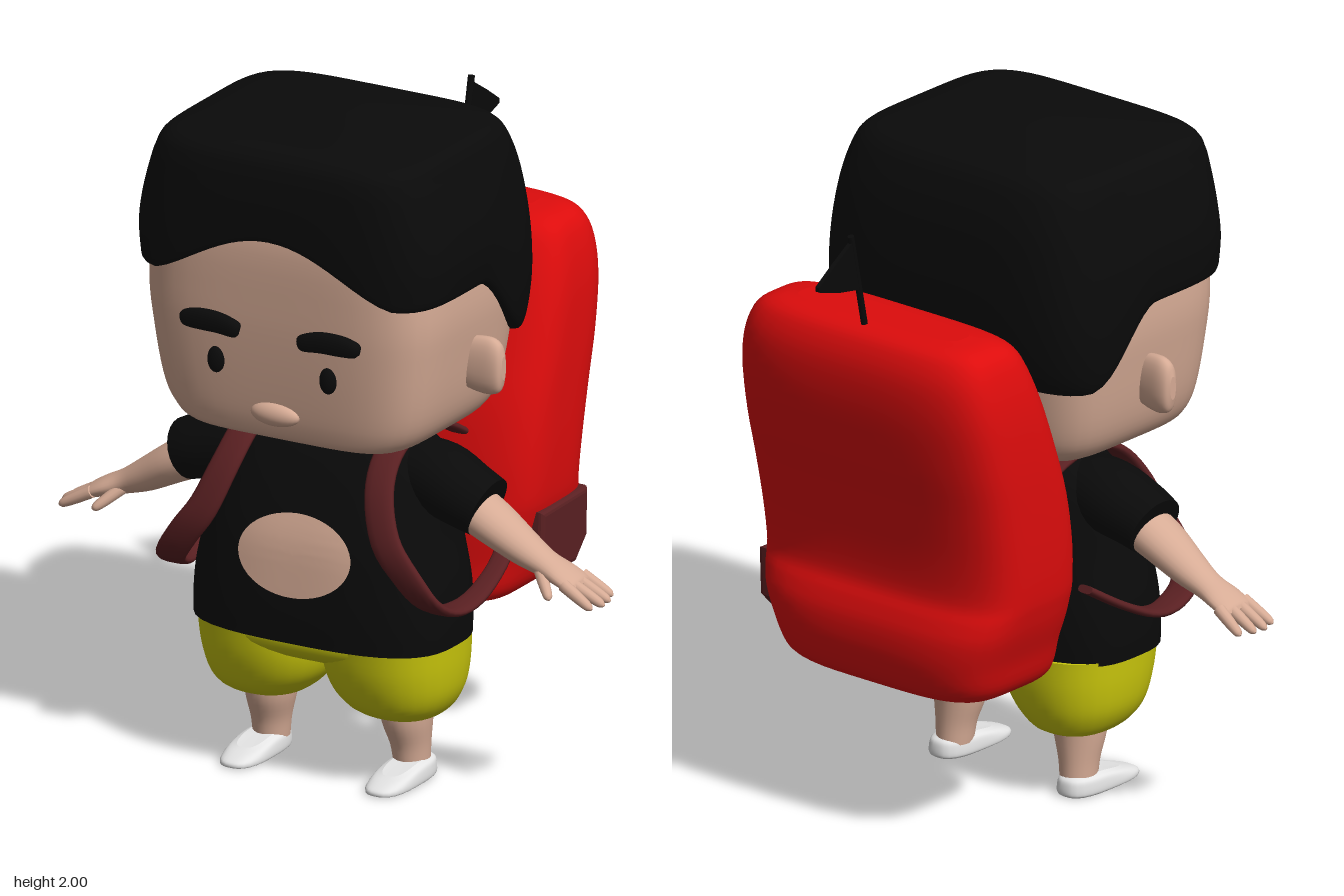
import * as THREE from 'three';

const mat = (name, color) => Object.assign(new THREE.MeshStandardMaterial({ color }), { name });
const V = (x, y, z) => new THREE.Vector3(x, y, z);
const X = V(1, 0, 0), Y = V(0, 1, 0), Z = V(0, 0, 1);

// Smoothly resample sections [x, y, z, ru, rv]
function resample(list, k = 4) {
  const pos = new THREE.CatmullRomCurve3(list.map(s => V(s[0], s[1], s[2])), false, 'catmullrom', 0.5);
  const rad = new THREE.CatmullRomCurve3(list.map(s => V(s[3], s[4], 0)), false, 'catmullrom', 0.5);
  const count = (list.length - 1) * k, out = [];
  for (let i = 0; i <= count; i++) {
    const r = rad.getPoint(i / count);
    out.push({ c: pos.getPoint(i / count), ru: r.x, rv: r.y });
  }
  return out;
}

// Loft of superellipse rings; a fixed axis keeps all rings parallel
function loft(list, { hint = X, axis = null, n = 2, seg = 24, k = 4, warp = null } = {}) {
  const rings = resample(list, k), pos = [], idx = [], last = rings.length - 1;
  const ringPoints = rings.map((r, i) => {
    const a = axis ? axis.clone()
      : rings[Math.min(i + 1, last)].c.clone().sub(rings[Math.max(i - 1, 0)].c).normalize();
    const u = hint.clone().addScaledVector(a, -hint.dot(a)).normalize();
    const v = a.clone().cross(u);
    return Array.from({ length: seg }, (_, j) => {
      const t = j / seg * Math.PI * 2, c = Math.cos(t), s = Math.sin(t);
      const q = 1 / Math.pow(Math.abs(c) ** n + Math.abs(s) ** n, 1 / n);
      return r.c.clone().addScaledVector(u, c * q * r.ru).addScaledVector(v, s * q * r.rv);
    });
  });
  const add = p => pos.push(p.x, p.y, p.z);
  ringPoints.forEach(ring => ring.forEach(add));
  for (let i = 0; i < last; i++) for (let j = 0; j < seg; j++) {
    const a = i * seg + j, b = i * seg + (j + 1) % seg;
    idx.push(a, b, b + seg, a, b + seg, a + seg);
  }
  // separate end caps keep their edges crisp
  for (const e of [0, last]) {
    const base = pos.length / 3;
    add(rings[e].c);
    ringPoints[e].forEach(add);
    for (let j = 0; j < seg; j++) {
      const p = base + 1 + j, q = base + 1 + (j + 1) % seg;
      if (e) idx.push(base, p, q); else idx.push(base, q, p);
    }
  }
  if (warp) for (let i = 0; i < pos.length; i += 3) pos[i + 1] = warp(pos[i], pos[i + 1], pos[i + 2]);
  const g = new THREE.BufferGeometry();
  g.setAttribute('position', new THREE.Float32BufferAttribute(pos, 3));
  g.setIndex(idx);
  g.computeVertexNormals();
  return g;
}

// Rows [y, half width, front z, back z] into sections
const body = rows => rows.map(([y, rx, f, b]) => [0, y, (f + b) / 2, rx, (f - b) / 2]);

export function createModel() {
  const root = new THREE.Group();
  root.name = 'backpacker';
  const black = mat('black', 0x0a0a0a), skin = mat('skin', 0xd6ab95), red = mat('red', 0xdd0c0c);
  const maroon = mat('maroon', 0x5a2022), yellow = mat('yellow', 0xc9c60c), white = mat('white', 0xe4e4e4);
  const add = (name, g, m, x = 0, y = 0, z = 0) => {
    const mesh = new THREE.Mesh(g, m);
    mesh.name = name;
    mesh.position.set(x, y, z);
    root.add(mesh);
    return mesh;
  };
  const ball = (name, m, x, y, z, a, b, c) =>
    add(name, new THREE.SphereGeometry(1, 24, 16), m, x, y, z).scale.set(a, b, c);

  // Head
  add('head', loft(body([[1.07, 0.29, 0.51, 0.03], [1.08, 0.355, 0.57, 0], [1.12, 0.405, 0.59, -0.03],
    [1.2, 0.438, 0.605, -0.05], [1.35, 0.462, 0.622, -0.07], [1.5, 0.475, 0.632, -0.08],
    [1.7, 0.455, 0.632, -0.08], [1.85, 0.4, 0.58, -0.04]]), { axis: Y, n: 5, seg: 72 }), skin);
  ball('nose', skin, 0, 1.165, 0.6, 0.08, 0.035, 0.03);
  add('neck', new THREE.CylinderGeometry(0.13, 0.15, 0.1, 24), skin, 0, 1.06, 0.23);

  // Hair: its lower edge arches over the face and drops behind the ears
  const hem = (x, z) => 1.32 + 0.22 * THREE.MathUtils.smoothstep(z, 0, 0.27)
    + (z > 0.3 ? 0.155 * Math.cos(Math.PI / 2 * Math.min(1, Math.abs(x) / 0.4)) ** 1.3 : 0);
  add('hair', loft(body([[1.32, 0.46, 0.625, -0.06], [1.335, 0.49, 0.645, -0.085], [1.4, 0.5, 0.65, -0.115],
    [1.52, 0.505, 0.652, -0.132], [1.66, 0.492, 0.652, -0.135], [1.8, 0.468, 0.65, -0.122],
    [1.9, 0.445, 0.645, -0.09], [1.945, 0.42, 0.625, -0.06], [1.965, 0.37, 0.58, -0.02],
    [1.985, 0.22, 0.45, 0.08], [1.998, 0.08, 0.32, 0.18], [2.0, 0.01, 0.26, 0.24]]),
  { axis: Y, n: 5, seg: 96, warp: (x, y, z) => {
    if (y > 1.9) return y;
    const h = hem(x, z);
    return h + (y - 1.32) / 0.58 * (1.9 - h);
  } }), black);

  // Shirt
  const shirt = body([[0.44, 0.41, 0.508, 0.04], [0.52, 0.41, 0.51, 0.033], [0.62, 0.4, 0.505, 0.03],
    [0.75, 0.37, 0.49, 0.03], [0.88, 0.345, 0.445, 0.035], [0.97, 0.32, 0.4, 0.06],
    [1.03, 0.26, 0.36, 0.1], [1.06, 0.18, 0.32, 0.13]]);
  add('shirt', loft(shirt, { axis: Y, n: 3, seg: 48 }), black);

  // Bare belly patch, following the shirt front
  const rings = resample(shirt);
  const frontZ = (x, y) => {
    const i = rings.findIndex(r => r.c.y >= y), a = rings[i - 1], b = rings[i];
    const t = (y - a.c.y) / (b.c.y - a.c.y), mix = THREE.MathUtils.lerp;
    const rx = mix(a.ru, b.ru, t), rz = mix(a.rv, b.rv, t);
    return mix(a.c.z, b.c.z, t) + rz * Math.cbrt(1 - Math.abs(x / rx) ** 3);
  };
  const patch = new THREE.RingGeometry(0.001, 1, 48, 8), p = patch.attributes.position;
  for (let i = 0; i < p.count; i++) {
    const x = p.getX(i) * 0.185, y = 0.703 + p.getY(i) * 0.122 + 0.03 * x;
    p.setXYZ(i, x, y, frontZ(x, y) + 0.005);
  }
  patch.computeVertexNormals();
  add('belly', patch, skin);

  // Hips between the trouser legs
  add('hips', loft(body([[0.345, 0.16, 0.36, 0.14], [0.37, 0.27, 0.43, 0.08], [0.41, 0.37, 0.48, 0.05],
    [0.46, 0.39, 0.485, 0.05]]), { axis: Y, n: 3, seg: 40 }), yellow);

  for (const s of [1, -1]) {
    const side = s > 0 ? 'left' : 'right';
    const mirror = list => list.map(([x, ...r]) => [s * x, ...r]);

    // Face details and ears
    ball(side + 'Eye', black, s * 0.185, 1.305, 0.618, 0.027, 0.04, 0.02);
    add(side + 'Eyebrow', loft(mirror([[0.1, 1.41, 0.633, 0.015, 0.01], [0.112, 1.413, 0.635, 0.025, 0.02],
      [0.17, 1.424, 0.635, 0.031, 0.022], [0.235, 1.424, 0.633, 0.031, 0.022],
      [0.28, 1.418, 0.628, 0.024, 0.02], [0.294, 1.415, 0.626, 0.012, 0.01]]), { hint: Y, n: 2.5, seg: 16 }), black);
    add(side + 'Ear', loft(mirror([[0.43, 1.305, 0.265, 0.075, 0.03], [0.48, 1.302, 0.262, 0.085, 0.032],
      [0.52, 1.3, 0.26, 0.085, 0.032], [0.545, 1.3, 0.26, 0.07, 0.026],
      [0.556, 1.3, 0.26, 0.035, 0.012]]), { hint: Y, n: 2.3 }), skin);

    // Sleeve, arm and hand
    add(side + 'Sleeve', loft(mirror([[0.2, 0.955, 0.235, 0.1, 0.08], [0.33, 0.925, 0.24, 0.115, 0.105],
      [0.43, 0.89, 0.25, 0.11, 0.097], [0.495, 0.865, 0.25, 0.1, 0.09]]), { hint: Z }), black);
    add(side + 'Arm', loft(mirror([[0.42, 0.875, 0.25, 0.08, 0.07], [0.52, 0.825, 0.255, 0.078, 0.062],
      [0.62, 0.767, 0.255, 0.062, 0.05], [0.69, 0.733, 0.255, 0.052, 0.037], [0.75, 0.71, 0.255, 0.062, 0.029],
      [0.795, 0.69, 0.255, 0.062, 0.022], [0.81, 0.684, 0.255, 0.05, 0.01]]), { hint: Z }), skin);
    const finger = (name, a, b) => add(name, loft(mirror([0, 0.5, 0.88, 1].map((t, i) => {
      const r = [0.019, 0.017, 0.013, 0.004][i];
      return [...a.map((q, j) => q + (b[j] - q) * t), r, r];
    })), { hint: Z, seg: 12 }), skin);
    [[0.2, 0.185, 0.872], [0.237, 0.23, 0.89], [0.274, 0.272, 0.895], [0.306, 0.318, 0.88]].forEach(([z0, z1, x], i) =>
      finger(side + 'Finger' + (i + 1), [0.78, 0.698, z0], [x, 0.645, z1]));
    finger(side + 'Thumb', [0.69, 0.72, 0.285], [0.755, 0.66, 0.345]);

    // Shorts leg, lower leg and shoe
    add(side + 'ShortsLeg', loft(mirror([[0.222, 0.2, 0.235, 0.085, 0.1], [0.22, 0.208, 0.238, 0.115, 0.13],
      [0.215, 0.24, 0.25, 0.15, 0.165], [0.207, 0.29, 0.255, 0.182, 0.19], [0.202, 0.36, 0.26, 0.199, 0.208],
      [0.202, 0.45, 0.265, 0.204, 0.218]]), { axis: Y, n: 2.4, seg: 32 }), yellow);
    add(side + 'LowerLeg', loft(mirror([[0.232, 0.04, 0.225, 0.052, 0.058], [0.23, 0.1, 0.23, 0.058, 0.064],
      [0.225, 0.17, 0.24, 0.072, 0.08], [0.222, 0.24, 0.24, 0.08, 0.09]]), { axis: Y }), skin);
    add(side + 'Shoe', loft(mirror([[0.24, 0, 0.3, 0.056, 0.14], [0.24, 0.008, 0.3, 0.064, 0.149],
      [0.24, 0.03, 0.298, 0.064, 0.147], [0.24, 0.05, 0.285, 0.058, 0.128], [0.24, 0.06, 0.275, 0.04, 0.1]]),
    { axis: Y, n: 2.8, seg: 32, warp: (x, y, z) => y * (1 - 0.4 * THREE.MathUtils.smoothstep(z, 0.25, 0.44)) }), white);

    // Shoulder strap
    add(side + 'Strap', loft(mirror([[0.44, 0.73, 0.01, 0.03, 0.012], [0.465, 0.65, 0.14, 0.03, 0.012],
      [0.462, 0.59, 0.27, 0.036, 0.013], [0.445, 0.582, 0.38, 0.044, 0.014], [0.425, 0.625, 0.465, 0.045, 0.015],
      [0.365, 0.71, 0.495, 0.046, 0.016], [0.3, 0.8, 0.493, 0.046, 0.016], [0.255, 0.92, 0.45, 0.045, 0.016],
      [0.237, 1.01, 0.37, 0.045, 0.015], [0.238, 1.055, 0.25, 0.045, 0.014], [0.245, 1.035, 0.11, 0.04, 0.013],
      [0.25, 0.97, -0.02, 0.035, 0.012]]), { n: 3, seg: 16 }), maroon);
  }

  // Backpack with a bulging lower back
  add('backpack', loft(body([[0.45, 0.3, -0.02, -0.36], [0.46, 0.35, 0.018, -0.41], [0.5, 0.385, 0.034, -0.445],
    [0.58, 0.41, 0.035, -0.468], [0.66, 0.44, 0.035, -0.47], [0.72, 0.457, 0.032, -0.453],
    [0.78, 0.468, 0.028, -0.43], [0.9, 0.475, 0.018, -0.44], [1.05, 0.478, -0.01, -0.47],
    [1.2, 0.478, -0.06, -0.505], [1.35, 0.47, -0.115, -0.53], [1.46, 0.45, -0.16, -0.53],
    [1.53, 0.42, -0.2, -0.505], [1.56, 0.37, -0.25, -0.47], [1.57, 0.3, -0.3, -0.42]]),
  { axis: Y, n: 4, seg: 64 }), red);

  // Side pocket, on the left only
  const outline = new THREE.Shape([[0.11, 0.72], [0.105, 0.61], [0.155, 0.55], [0.28, 0.545], [0.335, 0.6],
    [0.34, 0.725]].map(q => new THREE.Vector2(...q)));
  const pocket = new THREE.ExtrudeGeometry(outline,
    { depth: 0.1, bevelSize: 0.015, bevelThickness: 0.015, bevelSegments: 3 });
  pocket.rotateY(Math.PI / 2);
  add('sidePocket', pocket, maroon, 0.362);

  // Flag on the backpack
  add('flagPole', loft([[0, 1.53, -0.437, 0.01, 0.01], [0, 1.85, -0.505, 0.01, 0.01]], { seg: 12 }), black);
  const pennant = new THREE.ExtrudeGeometry(new THREE.Shape([[0.5, 1.835], [0.475, 1.68], [0.56, 1.695],
    [0.65, 1.722], [0.652, 1.736], [0.58, 1.785]].map(q => new THREE.Vector2(...q))), { depth: 0.014, bevelEnabled: false });
  pennant.rotateY(Math.PI / 2);
  add('flag', pennant, black, -0.007);

  return root;
}
